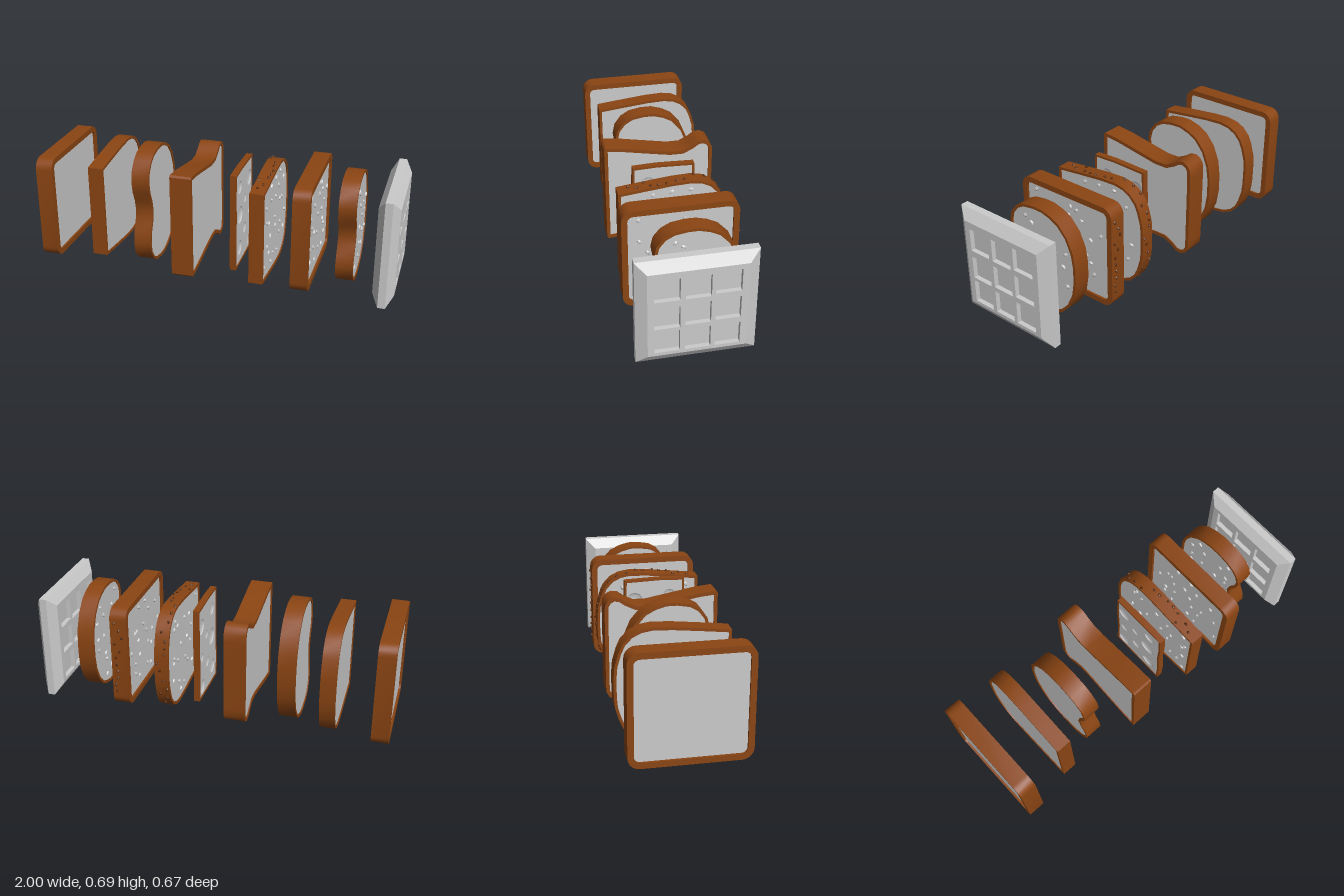
import * as THREE from 'three';
import { toCreasedNormals, mergeGeometries } from 'three/addons/utils/BufferGeometryUtils.js';

const crumbMat = new THREE.MeshStandardMaterial({ color: 0xcccccc });
const bowlMat = new THREE.MeshStandardMaterial({ color: 0xcccccc, side: THREE.DoubleSide });
const crustMat = new THREE.MeshStandardMaterial({ color: 0x8b4513 });
const crustSeedMat = new THREE.MeshStandardMaterial({ color: 0x5c2e0e });

let seed = 7;
const rand = () => (seed = (seed * 16807) % 2147483647) / 2147483647;
const V = (z, y) => new THREE.Vector2(z, y);

// Outlines are lists of (z, y) points; the half outline runs front to back and is mirrored in y.
function mirrored(half, cy, kz = 1, ky = 1, dz = 0) {
  const up = half.map(([z, y]) => V(z * kz + dz, cy + y * ky));
  const down = half.filter(([, y]) => y > 0).map(([z, y]) => V(z * kz + dz, cy - y * ky)).reverse();
  return [...up, ...down];
}

function roundedSquare(z0, z1, y0, y1, r) {
  const pts = [];
  [[z1, y1, 0], [z0, y1, 1], [z0, y0, 2], [z1, y0, 3]].forEach(([z, y, q]) => {
    const cz = z === z1 ? z - r : z + r, cy = y === y1 ? y - r : y + r;
    for (let i = 0; i <= 5; i++) {
      const a = (q + i / 5) * Math.PI / 2;
      pts.push(V(cz + r * Math.cos(a), cy + r * Math.sin(a)));
    }
  });
  return pts;
}

function inset(pts, r) {
  const n = pts.length;
  const normal = (a, b) => V(a.y - b.y, b.x - a.x).normalize();
  return pts.map((p, i) => {
    const n1 = normal(pts[(i + n - 1) % n], p), n2 = normal(p, pts[(i + 1) % n]);
    return n1.clone().add(n2).multiplyScalar(r / (1 + n1.dot(n2))).add(p);
  });
}

function inside(p, poly) {
  let hit = false;
  poly.forEach((a, i) => {
    const b = poly[(i + 1) % poly.length];
    if ((a.y > p.y) !== (b.y > p.y) && p.x < a.x + (b.x - a.x) * (p.y - a.y) / (b.y - a.y)) hit = !hit;
  });
  return hit;
}

// Extrude a (z, y) outline along x, centred on x = 0
function slab(pts, holes, thick) {
  const shape = new THREE.Shape(pts);
  shape.holes = holes.map(h => new THREE.Path(h));
  const g = new THREE.ExtrudeGeometry(shape, { depth: thick, bevelEnabled: false });
  g.translate(0, 0, -thick / 2).rotateY(-Math.PI / 2);
  return toCreasedNormals(g, 0.75);
}

function add(group, name, geometry, material) {
  const mesh = new THREE.Mesh(geometry, material);
  mesh.name = name;
  group.add(mesh);
  return mesh;
}

function seedAt(x, y, z, s) {
  return new THREE.IcosahedronGeometry(s, 0).scale(0.75, 1.2, 0.8)
    .rotateX(rand() * Math.PI).translate(x, y, z);
}

// Crust ring, recessed crumb, optional seeds on the faces and on the crust
function slice(name, x0, x1, outline, { rim = 0.015, recess = 0.006, seeds = false, crustSeeds = null, dents = [] } = {}) {
  const g = new THREE.Group();
  g.name = name;
  g.position.x = (x0 + x1) / 2;
  if (THREE.ShapeUtils.isClockWise(outline)) outline = outline.slice().reverse();
  const thick = x1 - x0, inner = inset(outline, rim), face = thick / 2 - recess;
  add(g, 'crust', slab(outline, [inner], thick), crustMat);
  const circles = dents.map(([z, y, r]) => new THREE.Path().absarc(z, y, r, 0, Math.PI * 2).getPoints(8).slice(0, -1));
  add(g, 'crumb', slab(inner, circles, face * 2), crumbMat);

  // Shallow bowls line the round dents on both faces
  dents.forEach(([z, y, r]) => [1, -1].forEach(s => {
    const bowl = new THREE.SphereGeometry(r * 1.01, 20, 6, 0, Math.PI * 2, 0, Math.PI / 2);
    bowl.scale(1, 0.25, 1).rotateZ(s * Math.PI / 2).translate(s * face, y, z);
    add(g, 'dent', bowl, bowlMat);
  }));

  if (seeds) {
    const area = inset(outline, rim + 0.03), parts = [];
    for (const s of [1, -1])
      for (let z = -0.28; z < 0.3; z += 0.1)
        for (let y = 0.07; y < 0.64; y += 0.1) {
          const p = V(z + (rand() - 0.5) * 0.08, y + (rand() - 0.5) * 0.08);
          if (inside(p, area)) parts.push(seedAt(s * face, p.y, p.x, 0.014));
        }
    add(g, 'faceSeeds', mergeGeometries(parts), crumbMat);
  }
  if (crustSeeds) {
    const parts = [];
    outline.forEach((a, i) => {
      const b = outline[(i + 1) % outline.length], len = a.distanceTo(b);
      for (let d = 0.02; d < len; d += 0.042) {
        const p = a.clone().lerp(b, d / len);
        if (p.x < crustSeeds && (a.x < 0.28 || b.x < 0.28))
          parts.push(seedAt((rand() - 0.5) * thick * 0.75, p.y, p.x, 0.011));
      }
    });
    add(g, 'crustSeeds', mergeGeometries(parts), crustSeedMat);
  }
  return g;
}

// Thick square panel with bevelled sides and a three by three grid of pockets on both faces
function waffle() {
  const g = new THREE.Group();
  g.name = 'waffle';
  g.position.x = 0.9425;
  const cz = 0.0275, cy = 0.343, hIn = 0.2475, hOut = 0.3025, k = Math.SQRT2, pocket = 0.127;
  const sq = (z, y, h) => [V(z - h, y - h), V(z + h, y - h), V(z + h, y + h), V(z - h, y + h)];
  const pockets = [];
  [[0.179, [0.178, 0.324, 0.488]], [0.027, [0.178, 0.331, 0.488]], [-0.121, [0.178, 0.338, 0.499]]]
    .forEach(([z, rows]) => rows.forEach(y => pockets.push(sq(z, y, pocket / 2))));
  add(g, 'grid', slab(sq(cz, cy, hIn), pockets, 0.115), crumbMat);
  add(g, 'core', slab(sq(cz, cy, hIn), [], 0.065), crumbMat);
  const profile = [V(hIn * k, -0.0575), V(hOut * k, -0.02), V(hOut * k, 0.02), V(hIn * k, 0.0575)];
  const rim = new THREE.LatheGeometry(profile, 4, Math.PI / 4);
  rim.rotateZ(-Math.PI / 2).translate(0, cy, cz);
  add(g, 'bevelledRim', toCreasedNormals(rim, 0.1), crumbMat);
  return g;
}

export function createModel() {
  const model = new THREE.Group();
  model.name = 'breadSlices';

  const loaf = [[0.255, 0.265], [0.1, 0.283], [-0.04, 0.298], [-0.14, 0.3025], [-0.2, 0.293], [-0.25, 0.268],
    [-0.29, 0.225], [-0.31, 0.18], [-0.33, 0.11], [-0.335, 0.05]];
  const bean = [[0.15, 0], [0.162, 0.06], [0.19, 0.125], [0.2, 0.19], [0.187, 0.25], [0.15, 0.3], [0.1, 0.33],
    [0.03, 0.3425], [-0.03, 0.3425], [-0.09, 0.325], [-0.145, 0.295], [-0.2, 0.23], [-0.237, 0.14], [-0.25, 0.05]];
  const eared = [[0.305, 0.29], [0.295, 0.3], [0.2, 0.29], [0.05, 0.262], [-0.07, 0.24], [-0.14, 0.24], [-0.19, 0.265],
    [-0.225, 0.29], [-0.26, 0.295], [-0.29, 0.28], [-0.308, 0.25], [-0.31, 0.2]];
  const cracker = [V(0.185, 0.06), V(0.19, 0.2), V(0.182, 0.36), V(0.188, 0.5), V(0.184, 0.63), V(0.05, 0.635),
    V(-0.155, 0.628), V(-0.16, 0.45), V(-0.154, 0.28), V(-0.16, 0.066), V(0, 0.062)];
  const dents = [[-0.1, 0.51, 0.045], [-0.1, 0.315, 0.026], [-0.1, 0.13, 0.042], [0.09, 0.36, 0.05],
    [-0.01, 0.42, 0.025], [0.1, 0.16, 0.042], [0.1, 0.53, 0.036], [0, 0.24, 0.03]];

  model.add(
    slice('squareSlice', -1, -0.905, roundedSquare(-0.315, 0.305, 0.05, 0.645, 0.06), { rim: 0.032, recess: 0.012 }),
    slice('loafSlice', -0.71, -0.625, mirrored(loaf, 0.3475)),
    slice('beanSlice', -0.48, -0.38, mirrored(bean, 0.3425)),
    slice('earedSlice', -0.22, -0.1, mirrored(eared, 0.345), { rim: 0.02 }),
    slice('crackerSlice', 0.08, 0.115, cracker, { rim: 0.012, recess: 0.003, dents }),
    slice('seededLoafSlice', 0.215, 0.295, mirrored(loaf, 0.325, 1, 1.005, 0.038), { seeds: true, crustSeeds: 0.25 }),
    slice('seededSquareSlice', 0.45, 0.545, roundedSquare(-0.295, 0.32, 0.05, 0.645, 0.06),
      { rim: 0.032, recess: 0.012, seeds: true, crustSeeds: -0.28 }),
    slice('seededBeanSlice', 0.67, 0.765, mirrored(bean, 0.3475, 0.98, 0.898), { seeds: true }),
    waffle(),
  );
  return model;
}
